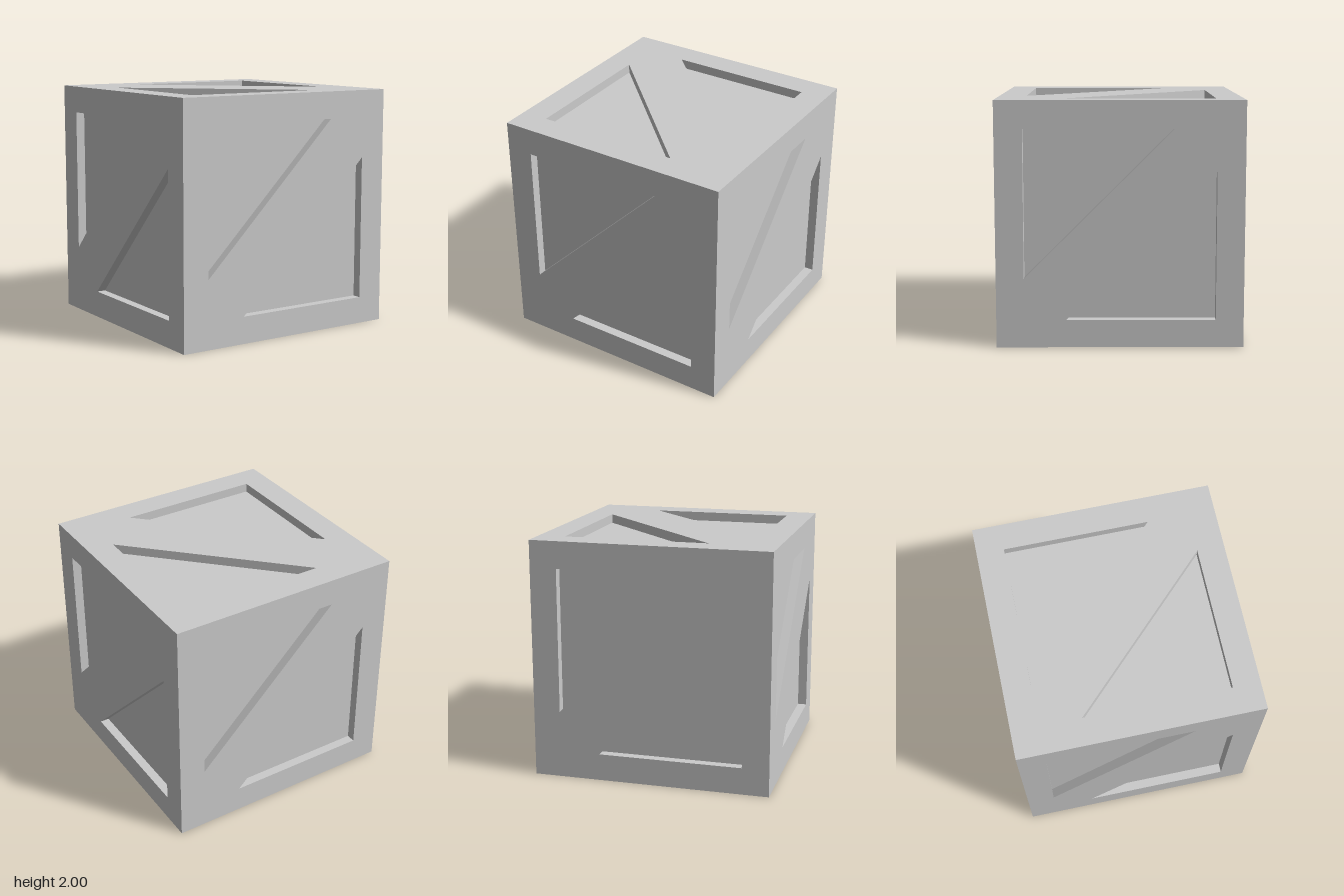
import * as THREE from 'three';

const HALF = 1;        // half the cube's side
const DEPTH = 0.077;   // recess depth
const NEAR = 0.774;    // recess right-angle corner
const FAR = 0.434;     // recess sharp tips

const material = new THREE.MeshStandardMaterial({ color: 0xcccccc, flatShading: true });

// The two triangular recesses of one face, counter-clockwise, either side of the diagonal brace
const triangles = [1, -1].map((s) => [[-NEAR, NEAR], [-NEAR, -FAR], [FAR, NEAR]]
  .map(([x, y]) => new THREE.Vector2(s * x, s * y)));

function mesh(name, geometry) {
  const m = new THREE.Mesh(geometry, material);
  m.name = name;
  return m;
}

// Inward-facing walls joining the face to the recess floor
function wallGeometry(points) {
  const positions = [];
  points.forEach((a, i) => {
    const b = points[(i + 1) % points.length];
    const top = HALF, low = HALF - DEPTH;
    positions.push(
      b.x, b.y, top, b.x, b.y, low, a.x, a.y, low,
      b.x, b.y, top, a.x, a.y, low, a.x, a.y, top);
  });
  const geometry = new THREE.BufferGeometry();
  geometry.setAttribute('position', new THREE.Float32BufferAttribute(positions, 3));
  geometry.computeVertexNormals();
  return geometry;
}

// One side of the crate, built facing +z
function createFace(name) {
  const face = new THREE.Group();
  face.name = name;

  const outline = new THREE.Shape([[-1, -1], [1, -1], [1, 1], [-1, 1]]
    .map(([x, y]) => new THREE.Vector2(x * HALF, y * HALF)));
  outline.holes = triangles.map((points) => new THREE.Path(points));
  face.add(mesh('bracedFrame', new THREE.ShapeGeometry(outline).translate(0, 0, HALF)));

  for (const points of triangles) {
    const floor = new THREE.ShapeGeometry(new THREE.Shape(points));
    face.add(mesh('recessPanel', floor.translate(0, 0, HALF - DEPTH)));
    face.add(mesh('recessWalls', wallGeometry(points)));
  }
  return face;
}

export function createModel() {
  const crate = new THREE.Group();
  crate.name = 'crate';
  const q = Math.PI / 2;

  // Name and rotation of each side; top and bottom get a quarter turn of the brace
  const sides = [
    ['frontFace', 0, 0, 0],
    ['plusXFace', 0, q, 0],
    ['backFace', 0, 2 * q, 0],
    ['minusXFace', 0, -q, 0],
    ['topFace', -q, 0, q],
    ['bottomFace', q, 0, q],
  ];
  for (const [name, x, y, z] of sides) {
    const face = createFace(name);
    face.rotation.set(x, y, z);
    face.position.y = HALF;
    crate.add(face);
  }
  return crate;
}
